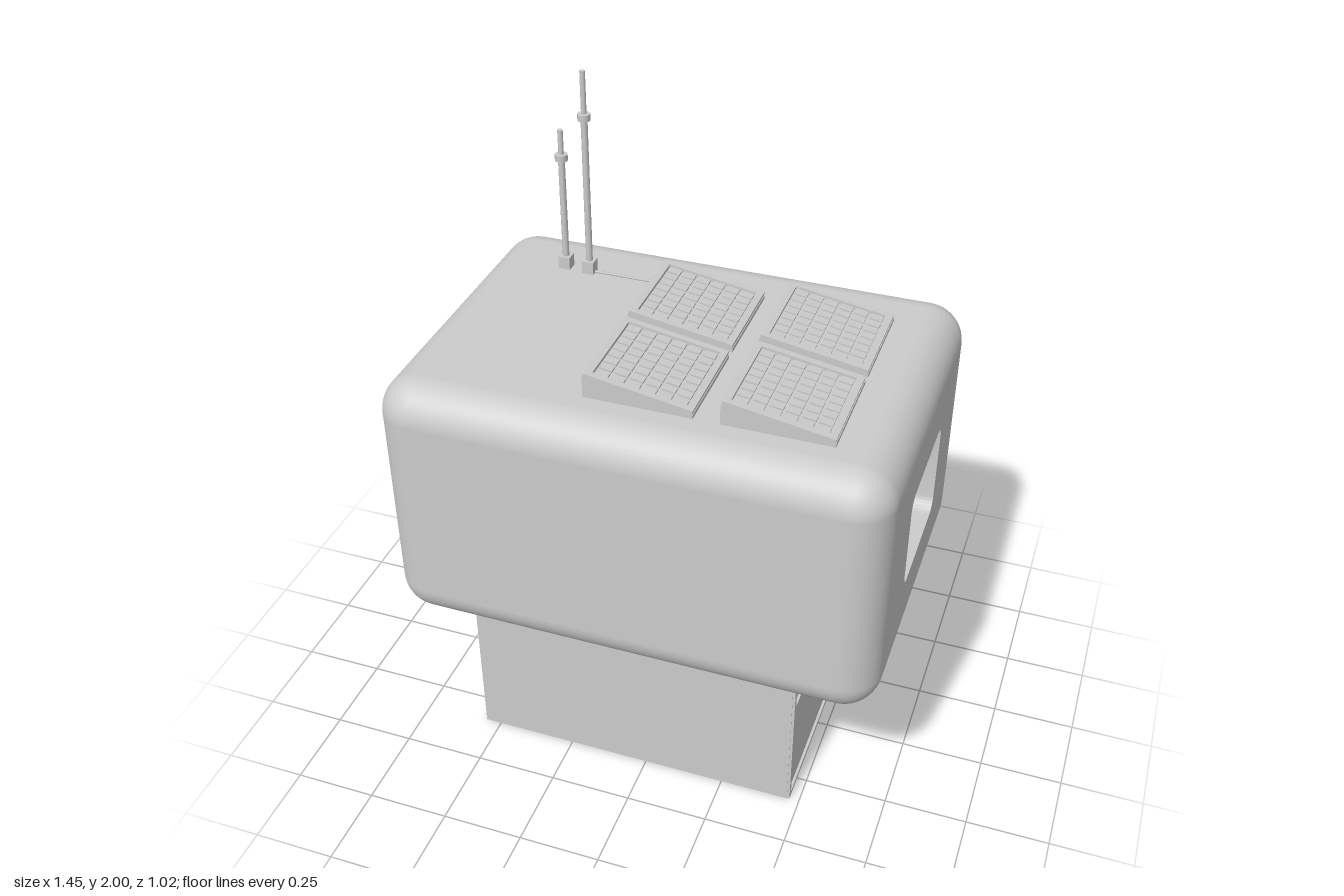
import * as THREE from 'three';
import { mergeGeometries, toCreasedNormals } from 'three/addons/utils/BufferGeometryUtils.js';
import { RoundedBoxGeometry } from 'three/addons/geometries/RoundedBoxGeometry.js';

const grey = new THREE.MeshStandardMaterial({ color: 0xcccccc });

function add(parent, name, geometry, x = 0, y = 0, z = 0) {
  const mesh = new THREE.Mesh(geometry, grey);
  mesh.name = name;
  mesh.position.set(x, y, z);
  parent.add(mesh);
  return mesh;
}
const box = (w, h, d) => new THREE.BoxGeometry(w, h, d);
const extrude = (shape, depth) => toCreasedNormals(
  new THREE.ExtrudeGeometry(shape, { depth, bevelEnabled: false, curveSegments: 6 }), 0.6);

// Rounded rectangle centred on (cx, cy)
function roundRect(path, cx, cy, w, h, r) {
  const a = w / 2 - r, b = h / 2 - r, q = Math.PI / 2;
  path.absarc(cx + a, cy + b, r, 0, q);
  path.absarc(cx - a, cy + b, r, q, 2 * q);
  path.absarc(cx - a, cy - b, r, 2 * q, 3 * q);
  path.absarc(cx + a, cy - b, r, 3 * q, 4 * q);
  path.closePath();
  return path;
}

// Doorway outline drawn from its right foot, over the top, to its left foot
function arch(path, cx, hw, h, c) {
  path.lineTo(cx + hw, 0);
  path.lineTo(cx + hw, h - c);
  path.quadraticCurveTo(cx + hw, h, cx + hw - c, h);
  path.lineTo(cx - hw + c, h);
  path.quadraticCurveTo(cx - hw, h, cx - hw, h - c);
  path.lineTo(cx - hw, 0);
  return path;
}

// Wall plate with a deep window; local +z points outwards
function windowWall(name, wallW, wallH, cx, w, h, mullions) {
  const depth = 0.16, group = new THREE.Group();
  group.name = name;
  const wall = new THREE.Shape();
  wall.moveTo(-wallW / 2, -wallH / 2).lineTo(wallW / 2, -wallH / 2)
    .lineTo(wallW / 2, wallH / 2).lineTo(-wallW / 2, wallH / 2).closePath();
  wall.holes.push(roundRect(new THREE.Path(), cx, 0, w, h, 0.04));
  add(group, 'windowRecess', extrude(wall, depth), 0, 0, -depth);
  add(group, 'windowPane', box(w + 0.02, h + 0.02, 0.01), cx, 0, -depth);
  const frame = roundRect(new THREE.Shape(), cx, 0, w, h, 0.04);
  frame.holes.push(roundRect(new THREE.Path(), cx, 0, w - 0.03, h - 0.03, 0.03));
  add(group, 'windowFrame', extrude(frame, 0.03), 0, 0, -depth);
  add(group, 'windowCrossbar', box(w - 0.02, 0.014, 0.03), cx, 0, -depth + 0.012);
  for (const x of mullions) {
    add(group, 'windowMullion', box(0.035, h - 0.02, 0.04), x, 0, -depth + 0.018);
  }
  return group;
}

// Rounded upper cabin; two flat sides are replaced by window walls
function makeCabin() {
  const W = 1.45, H = 0.8, D = 1.02, R = 0.11, cabin = new THREE.Group();
  cabin.name = 'cabin';
  let shell = new RoundedBoxGeometry(W, H, D, 6, R);
  if (shell.index) shell = shell.toNonIndexed();
  const p = shell.attributes.position, n = shell.attributes.normal, pos = [], nor = [];
  for (let i = 0; i < p.count; i += 3) {
    const x = (p.getX(i) + p.getX(i + 1) + p.getX(i + 2)) / 3;
    const z = (p.getZ(i) + p.getZ(i + 1) + p.getZ(i + 2)) / 3;
    if (x > W / 2 - 1e-5 || z < -D / 2 + 1e-5) continue;
    for (let k = i; k < i + 3; k++) {
      pos.push(p.getX(k), p.getY(k), p.getZ(k));
      nor.push(n.getX(k), n.getY(k), n.getZ(k));
    }
  }
  const open = new THREE.BufferGeometry();
  open.setAttribute('position', new THREE.Float32BufferAttribute(pos, 3));
  open.setAttribute('normal', new THREE.Float32BufferAttribute(nor, 3));
  add(cabin, 'cabinShell', open);

  const side = windowWall('sideWindow', D - 2 * R, H - 2 * R, 0, 0.39, 0.305, []);
  side.rotation.y = Math.PI / 2;
  side.position.x = W / 2;
  const back = windowWall('backWindow', W - 2 * R, H - 2 * R, -0.02, 1.02, 0.41, [0.22]);
  back.rotation.y = Math.PI;
  back.position.z = -D / 2;
  cabin.add(side, back);
  cabin.position.y = 0.965;
  return cabin;
}

// Tilted solar panel on a wedge-shaped stand
function makePanel(x, z) {
  const S = 0.31, panel = new THREE.Group();
  panel.name = 'solarPanel';
  const wedge = new THREE.Shape();
  wedge.moveTo(-S / 2, -0.01).lineTo(S / 2, -0.01).lineTo(S / 2, 0.011).lineTo(-S / 2, 0.063).closePath();
  add(panel, 'panelStand', extrude(wedge, S), 0, 0, -S / 2);
  const top = new THREE.Group();
  top.name = 'panelTop';
  top.position.y = 0.037;
  top.rotation.z = -Math.atan2(0.052, S);
  const rim = new THREE.Shape();
  const a = S / 2, b = a - 0.02;
  rim.moveTo(-a, -a).lineTo(a, -a).lineTo(a, a).lineTo(-a, a).closePath();
  rim.holes.push(new THREE.Path().moveTo(-b, -b).lineTo(-b, b).lineTo(b, b).lineTo(b, -b).closePath());
  add(top, 'panelRim', extrude(rim, 0.012).rotateX(-Math.PI / 2));
  const cells = [], cols = 6, rows = 8, cw = 2 * b / cols, cd = 2 * b / rows;
  for (let i = 0; i < cols; i++) for (let j = 0; j < rows; j++) {
    cells.push(box(cw - 0.008, 0.008, cd - 0.007)
      .translate(-b + (i + 0.5) * cw, 0.003, -b + (j + 0.5) * cd));
  }
  add(top, 'solarCells', mergeGeometries(cells));
  panel.add(top);
  panel.position.set(x, 1.365, z);
  return panel;
}

function makeAntenna(x, z, top, collar) {
  const antenna = new THREE.Group();
  antenna.name = 'antenna';
  const rod = (r, y0, y1) => new THREE.CylinderGeometry(r, r, y1 - y0, 10).translate(0, (y0 + y1) / 2, 0);
  add(antenna, 'antennaBase', box(0.036, 0.045, 0.036), 0, 1.382, 0);
  add(antenna, 'antennaMast', rod(0.01, 1.365, collar));
  add(antenna, 'antennaTip', rod(0.008, collar, top));
  add(antenna, 'antennaCollar', rod(0.019, collar - 0.01, collar + 0.01));
  antenna.position.set(x, 0, z);
  return antenna;
}

// Lower block with a recessed doorway, raised ribs and pipes at the back
function makeBase() {
  const base = new THREE.Group(), H = 0.58, x0 = -0.55, x1 = 0.462, cx = -0.04, back = -0.332;
  base.name = 'base';
  add(base, 'baseBlock', box(x1 - x0, H, 0.588), (x0 + x1) / 2, H / 2, 0.046);
  const wall = new THREE.Shape();
  wall.moveTo(x0, 0).lineTo(x0, H).lineTo(x1, H).lineTo(x1, 0);
  arch(wall, cx, 0.18, 0.43, 0.09).closePath();
  add(base, 'doorwayWall', extrude(wall, 0.084), 0, 0, back);

  // Nested frame and door leaf
  const ring = (outer, inner, h, c) => {
    const s = arch(new THREE.Shape().moveTo(cx + outer, 0), cx, outer, h, c);
    for (const [x, y] of [[-inner, 0], [-inner, h - c], [-inner + c * 0.75, h - outer + inner],
      [inner - c * 0.75, h - outer + inner], [inner, h - c], [inner, 0]]) s.lineTo(cx + x, y);
    return s.closePath();
  };
  add(base, 'doorFrame', extrude(ring(0.205, 0.18, 0.455, 0.1), 0.03), 0, 0, -0.352);
  add(base, 'doorInnerFrame', extrude(ring(0.182, 0.16, 0.432, 0.09), 0.035), 0, 0, -0.3);
  const leaf = arch(new THREE.Shape().moveTo(cx + 0.145, 0), cx, 0.145, 0.395, 0.08).closePath();
  add(base, 'doorLeaf', extrude(leaf, 0.03), 0, 0, -0.262);

  // Ribs on the back wall, including diagonals at the door's upper corners
  const rib = (ax, ay, bx, by) => {
    const m = add(base, 'backRib', box(Math.hypot(bx - ax, by - ay), 0.016, 0.016),
      (ax + bx) / 2, (ay + by) / 2, back);
    m.rotation.z = Math.atan2(by - ay, bx - ax);
  };
  rib(x0, 0.008, cx - 0.2, 0.008);
  rib(cx + 0.2, 0.008, x1, 0.008);
  for (const s of [-1, 1]) {
    const edge = s < 0 ? x0 + 0.008 : x1 - 0.002;
    rib(edge, 0, edge, 0.57);
    rib(edge, 0.375, cx + s * 0.29, 0.375);
    rib(cx + s * 0.29, 0.375, cx + s * 0.2, 0.33);
    rib(cx + s * 0.17, 0.44, cx + s * 0.23, 0.48);
    rib(cx + s * 0.23, 0.48, cx + s * 0.23, 0.57);
  }

  // Ribs on the side wall
  for (const z of [0.33, -0.175, -0.332]) add(base, 'sideRib', box(0.016, 0.57, 0.016), x1, 0.285, z);
  for (const y of [0.008, 0.375, 0.56]) add(base, 'sideRib', box(0.016, 0.016, 0.67), x1, y, 0);

  // Pair of pipes running round the door and up into the cabin
  for (const o of [0, 0.026]) {
    const r = 0.03, z = -0.348, v = (x, y) => new THREE.Vector3(x, y, z);
    const xl = 0.24 - o, yt = 0.515 - o, xr = -0.18 - o;
    const path = new THREE.CurvePath();
    path.add(new THREE.LineCurve3(v(xl, 0), v(xl, yt - r)));
    path.add(new THREE.QuadraticBezierCurve3(v(xl, yt - r), v(xl, yt), v(xl - r, yt)));
    path.add(new THREE.LineCurve3(v(xl - r, yt), v(xr + r, yt)));
    path.add(new THREE.QuadraticBezierCurve3(v(xr + r, yt), v(xr, yt), v(xr, yt + r)));
    path.add(new THREE.LineCurve3(v(xr, yt + r), v(xr, 0.6)));
    add(base, 'pipe', new THREE.TubeGeometry(path, 90, 0.011, 8));
  }
  return base;
}

export function createModel() {
  const model = new THREE.Group();
  model.name = 'outpost';
  model.add(makeBase(), makeCabin());
  for (const x of [0, 0.385]) for (const z of [-0.14, 0.2]) model.add(makePanel(x, z));
  model.add(makeAntenna(-0.465, -0.28, 1.81, 1.725), makeAntenna(-0.387, -0.275, 2, 1.863));
  // Cable from the tall antenna to the panels
  add(model, 'cable', new THREE.CylinderGeometry(0.004, 0.004, 0.24, 6).rotateZ(Math.PI / 2), -0.265, 1.368, -0.275);
  return model;
}
